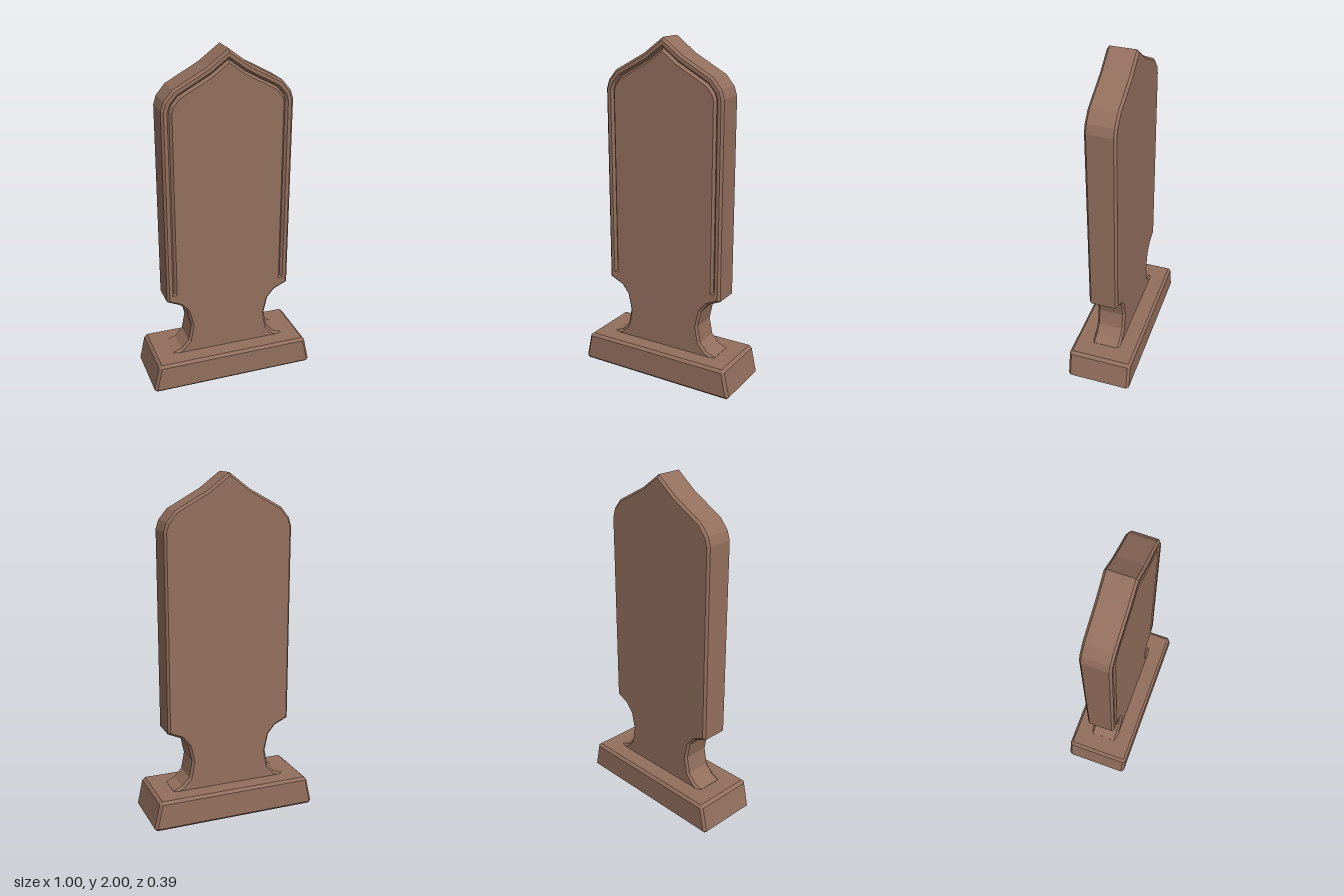
import * as THREE from 'three';

const V = (x, y) => new THREE.Vector2(x, y);
const wood = new THREE.MeshStandardMaterial({ color: 0x936f5d, flatShading: true });

// Collects triangles and quads into one flat-shaded geometry
class Faces {
  constructor() { this.pos = []; }
  tri(...pts) { for (const p of pts) this.pos.push(...p); }
  quad(a, b, c, d) { this.tri(a, b, c); this.tri(a, c, d); }
  // Walls between counter-clockwise rings [points, z], stacked towards +z
  walls(rings) {
    for (let k = 0; k + 1 < rings.length; k++) {
      const [lo, z0] = rings[k], [hi, z1] = rings[k + 1];
      lo.forEach((p, i) => {
        const j = (i + 1) % lo.length;
        this.quad([p.x, p.y, z0], [lo[j].x, lo[j].y, z0], [hi[j].x, hi[j].y, z1], [hi[i].x, hi[i].y, z1]);
      });
    }
  }
  // Flat cap, optionally with holes, facing +z or -z
  cap(contour, z, up, holes = []) {
    const all = [...contour, ...holes.flat()];
    for (const [a, b, c] of THREE.ShapeUtils.triangulateShape(contour, holes)) {
      const t = [a, b, c].map(i => all[i]);
      const area = (t[1].x - t[0].x) * (t[2].y - t[0].y) - (t[2].x - t[0].x) * (t[1].y - t[0].y);
      if ((area > 0) !== up) t.reverse();
      this.tri(...t.map(p => [p.x, p.y, z]));
    }
  }
  geometry() {
    const g = new THREE.BufferGeometry();
    g.setAttribute('position', new THREE.Float32BufferAttribute(this.pos, 3));
    g.computeVertexNormals();
    return g;
  }
}

// Mitred inward offset of a counter-clockwise outline
function inset(pts, d) {
  const n = pts.length;
  return pts.map((p, i) => {
    const a = p.clone().sub(pts[(i + n - 1) % n]).normalize();
    const b = pts[(i + 1) % n].clone().sub(p).normalize();
    const n1 = V(-a.y, a.x), n2 = V(-b.y, b.x);
    return p.clone().addScaledVector(n1.clone().add(n2), d / (1 + n1.dot(n2)));
  });
}

// Right half of the slab outline, from the foot up to the shoulder
const half = [
  [0.35, 0.165], [0.35, 0.18], [0.297, 0.2], [0.252, 0.25], [0.233, 0.35], [0.254, 0.45],
  [0.297, 0.503], [0.378, 0.54], [0.378, 1.695], [0.362, 1.745], [0.312, 1.805], [0.12, 1.91],
];

function slabGeometry() {
  const outline = [
    ...half.map(([x, y]) => V(x, y)), V(0, 2),
    ...half.slice().reverse().map(([x, y]) => V(-x, y)),
  ];
  const f = new Faces(), z = 0.086, bevel = 0.013;
  const face = inset(outline, bevel);

  // Groove lines follow the upper outline and stop above the neck
  const line = (d, end) => {
    const top = inset(outline, d).filter(p => p.y > 1.5);
    return [V(top[0].x, end), ...top, V(top[top.length - 1].x, end)];
  };
  const outer = line(0.033, 0.58), mid = line(0.046, 0.595), inner = line(0.059, 0.58);

  f.walls([[face, -z], [outline, -z + bevel], [outline, z - bevel], [face, z]]);
  f.cap(face, -z, false);
  f.cap(face, z, true, [[...outer, ...inner.slice().reverse()]]);

  // V-shaped groove walls and sloped ends
  const at = (pts, i, h) => [pts[i].x, pts[i].y, h];
  const floor = z - 0.016, last = outer.length - 1;
  for (let i = 0; i < last; i++) {
    f.quad(at(outer, i, z), at(outer, i + 1, z), at(mid, i + 1, floor), at(mid, i, floor));
    f.quad(at(mid, i, floor), at(mid, i + 1, floor), at(inner, i + 1, z), at(inner, i, z));
  }
  f.tri(at(outer, 0, z), at(mid, 0, floor), at(inner, 0, z));
  f.tri(at(inner, last, z), at(mid, last, floor), at(outer, last, z));
  return f.geometry();
}

// Tapered plinth with chamfered edges and corners
function plinthGeometry() {
  const ring = (x, y, c) => [
    V(x, -y + c), V(x, y - c), V(x - c, y), V(-x + c, y),
    V(-x, y - c), V(-x, -y + c), V(-x + c, -y), V(x - c, -y),
  ];
  const rings = [
    [ring(0.485, 0.179, 0.001), 0],
    [ring(0.5, 0.193, 0.015), 0.015],
    [ring(0.468, 0.193, 0.015), 0.162],
    [ring(0.45, 0.178, 0.001), 0.178],
  ];
  const f = new Faces();
  f.walls(rings);
  f.cap(rings[0][0], 0, false);
  f.cap(rings[3][0], 0.178, true);
  return f.geometry().rotateX(-Math.PI / 2);
}

export function createModel() {
  const group = new THREE.Group();
  group.name = 'standingSlab';
  const parts = { slab: slabGeometry(), plinth: plinthGeometry() };
  for (const [name, geometry] of Object.entries(parts)) {
    const mesh = new THREE.Mesh(geometry, wood);
    mesh.name = name;
    group.add(mesh);
  }
  return group;
}
